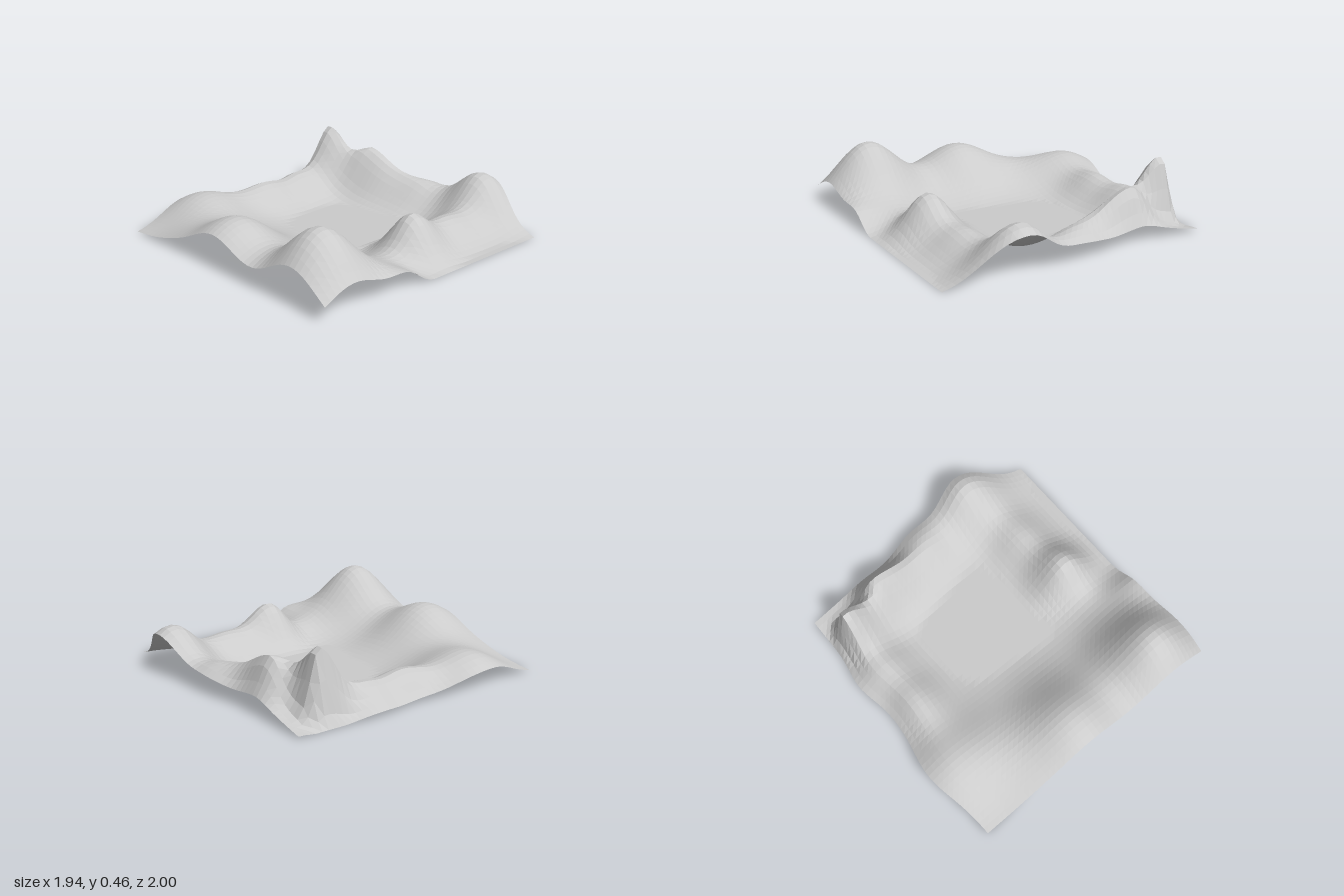
import * as THREE from 'three';

// Hills: [x, z, height, spread to -x, to +x, to -z, to +z]
const HILLS = [
  [0.68, 0.77, 0.445, 0.23, 0.23, 0.23, 0.23],    // tall front hill
  [-0.05, 0.82, 0.31, 0.25, 0.24, 0.25, 0.27],    // middle front hill
  [-0.79, 0.53, 0.21, 0.22, 0.27, 0.22, 0.23],    // front corner mound
  [-0.5, 0.92, 0.035, 0.16, 0.15, 0.25, 0.2],     // dip between the front mounds
  [1.0, 0.34, 0.1, 0.15, 0.2, 0.1, 0.13],         // low rim beside the basin
  [-0.73, 0.02, 0.175, 0.1, 0.145, 0.17, 0.18],   // side ridge
  [-0.75, -0.3, 0.145, 0.14, 0.15, 0.13, 0.12],
  [-0.765, -0.63, 0.47, 0.052, 0.15, 0.065, 0.13], // crag
  [-0.43, -0.73, 0.315, 0.12, 0.22, 0.075, 0.14], // shoulder of the crag
  [-0.55, -0.87, 0.085, 0.26, 0.26, 0.1, 0.1],    // shelf behind the crag
  [0.02, -0.83, 0.165, 0.18, 0.15, 0.15, 0.16],   // back ridge
  [0.47, -0.9, 0.34, 0.18, 0.21, 0.2, 0.17],
  [0.63, -0.04, 0.295, 0.14, 0.14, 0.15, 0.12],   // inner knoll
  [0.58, -0.43, 0.165, 0.14, 0.15, 0.18, 0.16],   // saddle behind the knoll
  [0.67, 0.25, 0.06, 0.14, 0.13, 0.12, 0.15],     // foot of the knoll
];

const bell = (d, spread) => Math.exp(-(d * d) / (2 * spread * spread));

// Sum of the hills, cut off to leave a level basin
function heightAt(x, z) {
  let sum = 0;
  for (const [hx, hz, h, xn, xp, zn, zp] of HILLS) {
    sum += h * bell(x - hx, x < hx ? xn : xp) * bell(z - hz, z < hz ? zn : zp);
  }
  return Math.max(0, sum - 0.02);
}

export function createModel() {
  const group = new THREE.Group();
  group.name = 'landscape';

  // Square grid laid flat, raised by the hills
  const geometry = new THREE.PlaneGeometry(1.87, 1.87, 44, 44);
  geometry.rotateX(-Math.PI / 2);
  geometry.translate(0.035, 0, 0.065);
  const pos = geometry.attributes.position;
  for (let i = 0; i < pos.count; i++) {
    const u = pos.getX(i), v = pos.getZ(i);
    // The back and one side bulge outward where the rim is high
    const nearSide = Math.max(0, (0.1 - u) / 1.0) ** 2;
    const nearBack = Math.max(0, (0.1 - v) / 0.97) ** 2;
    const x = u - nearSide * (0.075 * bell(v - 0.5, 0.2) + 0.045 * bell(v + 0.3, 0.13));
    const z = v - nearBack * (0.13 * bell(u - 0.47, 0.2) + 0.06 * bell(u, 0.15));
    pos.setXYZ(i, x, heightAt(x, z), z);
  }
  geometry.computeVertexNormals();

  const material = new THREE.MeshStandardMaterial({
    color: 0xcccccc, flatShading: true, side: THREE.DoubleSide,
  });
  const terrain = new THREE.Mesh(geometry, material);
  terrain.name = 'terrain';
  group.add(terrain);
  return group;
}
